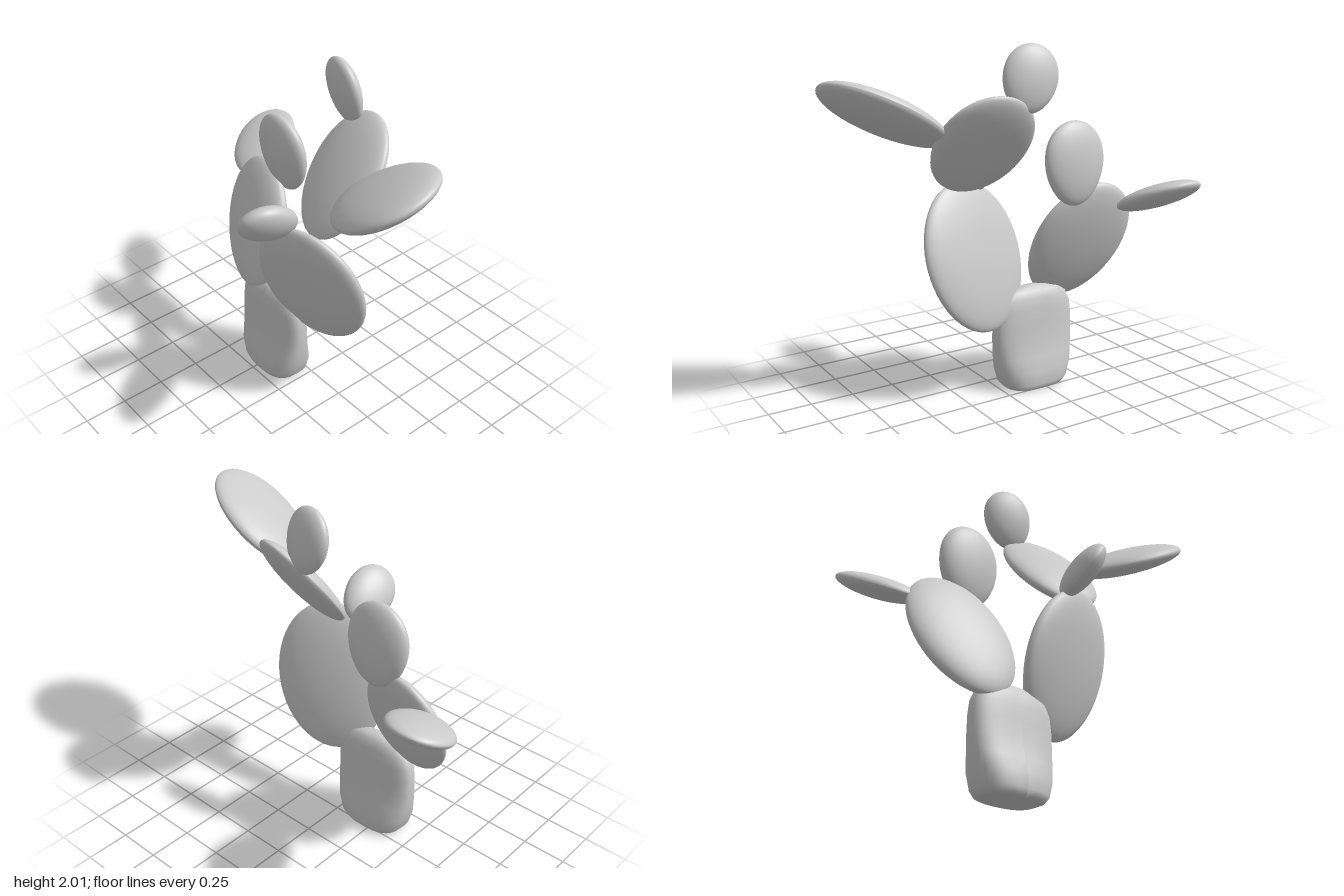
import * as THREE from 'three';

const material = new THREE.MeshStandardMaterial({ color: 0xcccccc });

// Flattened egg-shaped pad: centre, growth axis, face normal,
// half sizes [length, width, thickness]; taper narrows the joint end.
function makePad(name, centre, axis, normal, [length, width, thickness], taper = 0.08) {
  const geometry = new THREE.SphereGeometry(1, 40, 28);
  const pos = geometry.attributes.position;
  for (let i = 0; i < pos.count; i++) {
    const y = pos.getY(i);
    const k = 1 + taper * y;
    pos.setXYZ(i, pos.getX(i) * width * k, y * length, pos.getZ(i) * thickness);
  }
  geometry.computeVertexNormals();

  // Local x = width, y = growth axis, z = face normal
  const up = new THREE.Vector3(...axis).normalize();
  const side = new THREE.Vector3().crossVectors(up, new THREE.Vector3(...normal)).normalize();
  const face = new THREE.Vector3().crossVectors(side, up);
  const mesh = new THREE.Mesh(geometry, material);
  mesh.name = name;
  mesh.quaternion.setFromRotationMatrix(new THREE.Matrix4().makeBasis(side, up, face));
  mesh.position.set(...centre);
  return mesh;
}

// Trunk: stacked superellipse rings, broad at the foot and thinning to the top
function makeTrunk() {
  // [height, half width, half depth]
  const rings = [
    [0, 0, 0], [0, 0.16, 0.11], [0.01, 0.185, 0.128], [0.04, 0.21, 0.139], [0.12, 0.235, 0.138],
    [0.2, 0.248, 0.114], [0.3, 0.256, 0.095], [0.4, 0.256, 0.087], [0.48, 0.247, 0.08],
    [0.54, 0.22, 0.07], [0.58, 0.17, 0.052], [0.6, 0.09, 0.03], [0.605, 0, 0],
  ];
  const segments = 40;
  const geometry = new THREE.CylinderGeometry(1, 1, 1, segments, rings.length - 1, true);
  const pos = geometry.attributes.position;
  const bend = (v) => Math.sign(v) * Math.abs(v) ** 0.75;
  for (let i = 0; i < pos.count; i++) {
    const row = rings.length - 1 - Math.floor(i / (segments + 1));
    const [y, w, d] = rings[row];
    pos.setXYZ(i, bend(pos.getX(i)) * w, y, bend(pos.getZ(i)) * d);
  }
  geometry.computeVertexNormals();
  const mesh = new THREE.Mesh(geometry, material);
  mesh.name = 'trunk';
  mesh.position.set(-0.215, 0, 0.1);
  return mesh;
}

export function createModel() {
  const group = new THREE.Group();
  group.name = 'pricklyPearCactus';
  group.add(
    makeTrunk(),
    // Right branch
    makePad('rightLowerPad', [-0.475, 0.85, 0.015], [-0.32, 0.86, -0.35], [-0.15, 0.33, 0.9], [0.385, 0.285, 0.08], 0.03),
    makePad('rightUpperPad', [-0.36, 1.33, -0.095], [-0.03, 1, 0.08], [0, -0.08, 1], [0.235, 0.19, 0.07], 0.1),
    makePad('rightOuterPad', [-0.797, 1.13, -0.29], [-0.47, 0.38, -0.8], [0, 0.9, 0.45], [0.25, 0.182, 0.06]),
    // Left branch
    makePad('leftLowerPad', [0.15, 0.82, 0.125], [0.22, 0.94, 0.2], [0.25, -0.25, 0.93], [0.43, 0.345, 0.082], 0.02),
    makePad('leftMiddlePad', [0.2, 1.475, -0.045], [-0.04, 0.56, -0.44], [-0.18, 0.6, 0.77], [0.355, 0.267, 0.068], 0.03),
    makePad('leftOuterPad', [0.672, 1.65, 0.13], [0.62, 0.32, 0.16], [-0.44, 0.85, 0.27], [0.365, 0.265, 0.077], 0.05),
    makePad('topPad', [0.01, 1.828, -0.21], [-0.28, 1, 0.1], [-0.2, -0.15, 1], [0.18, 0.15, 0.06]),
    makePad('smallFrontPad', [0.077, 1.283, 0.35], [0.03, 0.48, 0.85], [0.76, -0.48, 0.3], [0.18, 0.14, 0.075]),
  );
  return group;
}
